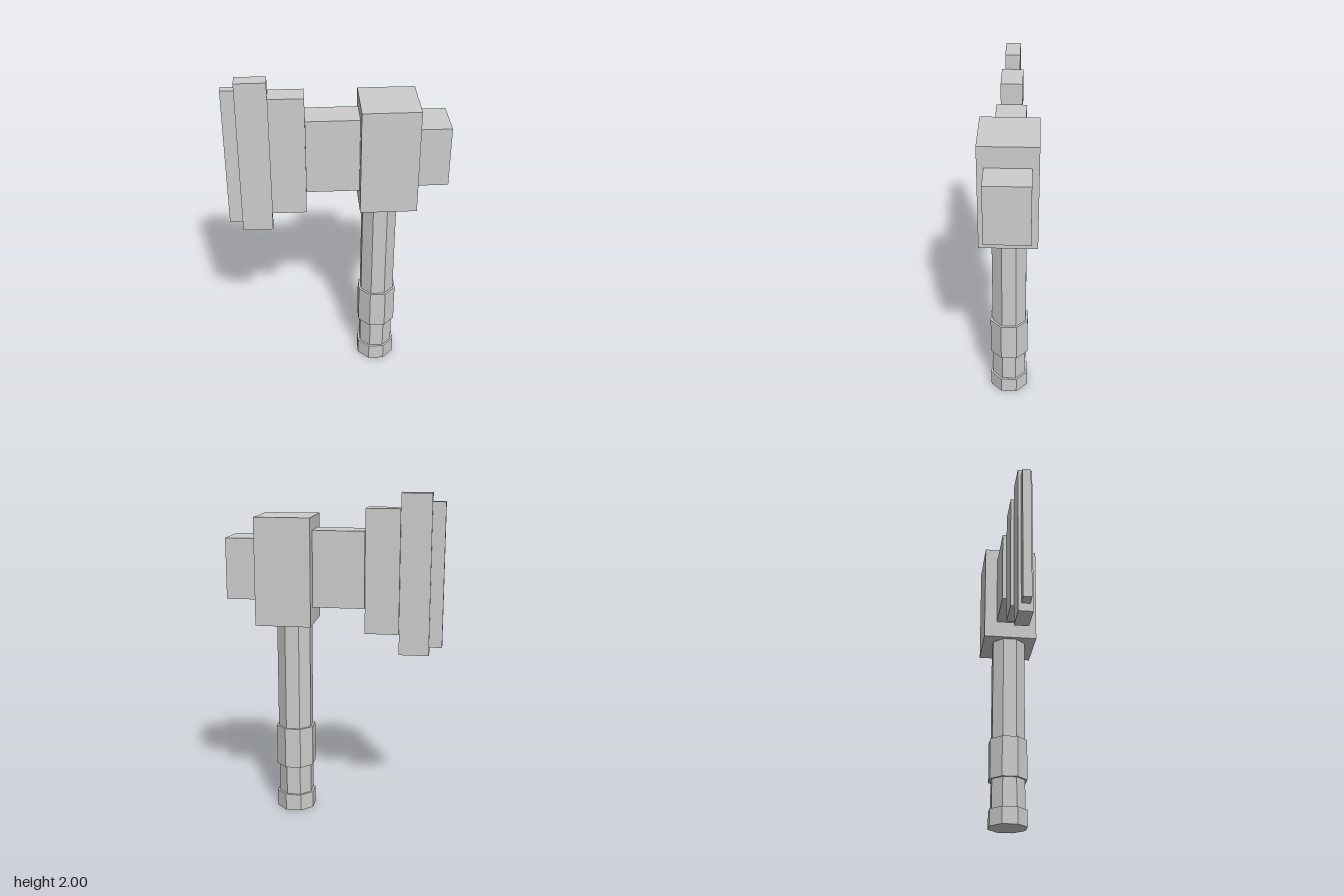
import * as THREE from 'three';

const steel = new THREE.MeshStandardMaterial({ color: 0xcccccc, flatShading: true });
steel.name = 'grey';

const HANDLE_X = 0.257;

// Box given by its x range, y range and half depth
function block(name, x0, x1, y0, y1, halfZ) {
  const mesh = new THREE.Mesh(new THREE.BoxGeometry(x1 - x0, y1 - y0, halfZ * 2), steel);
  mesh.position.set((x0 + x1) / 2, (y0 + y1) / 2, 0);
  mesh.name = name;
  return mesh;
}

// Upright octagonal prism with flat sides facing the axes
function octagon(name, apothem, y0, y1) {
  const radius = apothem / Math.cos(Math.PI / 8);
  const geometry = new THREE.CylinderGeometry(radius, radius, y1 - y0, 8);
  geometry.rotateY(Math.PI / 8);
  const mesh = new THREE.Mesh(geometry, steel);
  mesh.position.set(HANDLE_X, (y0 + y1) / 2, 0);
  mesh.name = name;
  return mesh;
}

export function createModel() {
  const model = new THREE.Group();
  model.name = 'battleAxe';

  // Head: stepped blade, neck, socket and rear hammer
  const head = new THREE.Group();
  head.name = 'head';
  head.add(
    block('bladeEdge', -0.65, -0.572, 1.08, 1.95, 0.026),
    block('bladeOuter', -0.572, -0.39, 1.03, 2.0, 0.044),
    block('bladeInner', -0.39, -0.184, 1.16, 1.91, 0.064),
    block('neck', -0.184, 0.129, 1.318, 1.78, 0.089),
    block('socket', 0.129, 0.465, 1.212, 1.86, 0.168),
    block('rearHammer', 0.465, 0.647, 1.365, 1.732, 0.13)
  );

  // Handle: shaft with a raised grip band and a pommel
  const handle = new THREE.Group();
  handle.name = 'handle';
  handle.add(
    octagon('shaft', 0.102, 0.05, 1.25),
    octagon('gripBand', 0.115, 0.29, 0.545),
    octagon('pommel', 0.115, 0, 0.105)
  );

  model.add(head, handle);
  return model;
}
